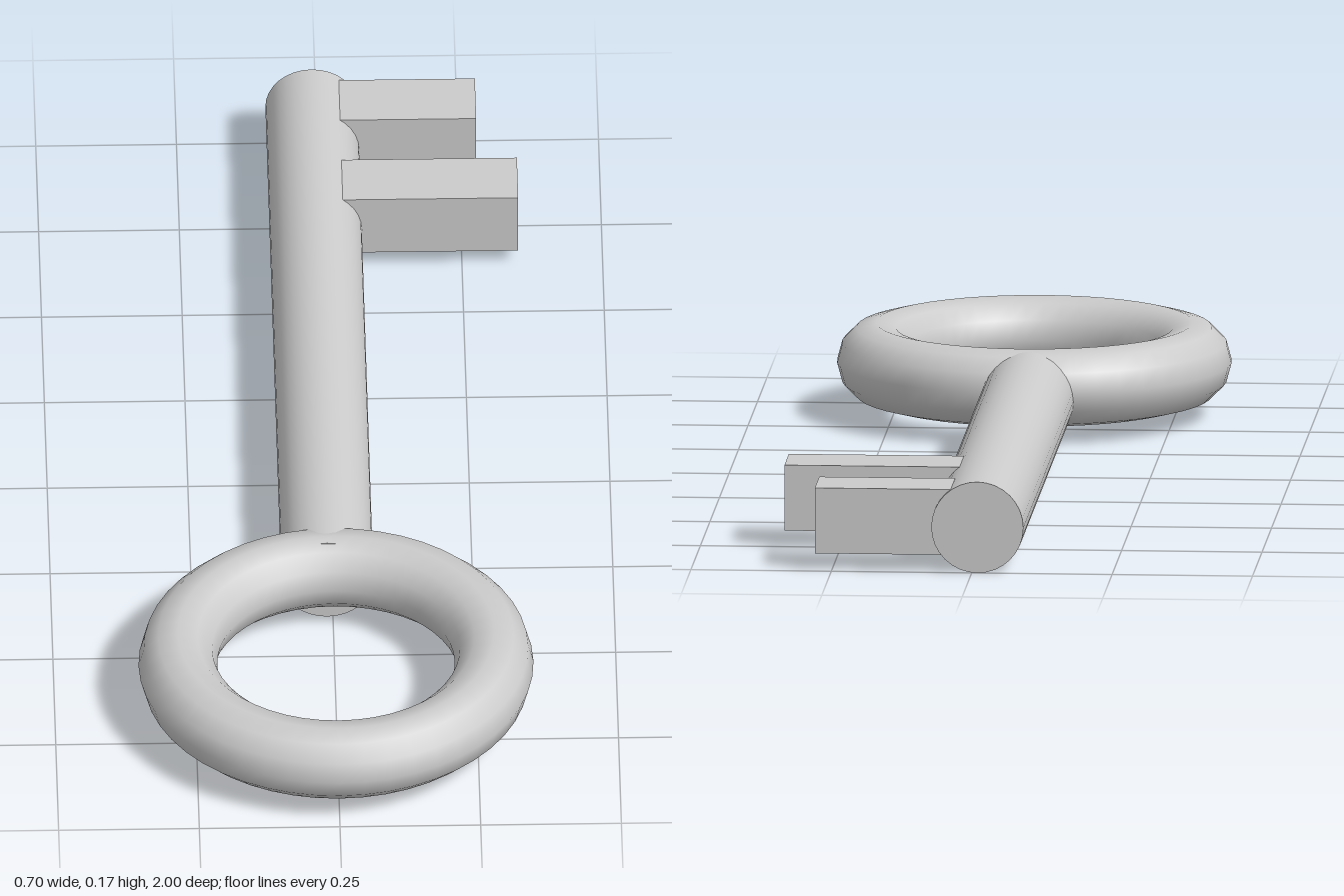
import * as THREE from 'three';

export function createModel() {
  const group = new THREE.Group();
  const material = new THREE.MeshStandardMaterial({ color: 0xcccccc });

  const add = (name, geometry, x, y, z) => {
    const mesh = new THREE.Mesh(geometry, material);
    mesh.name = name;
    mesh.position.set(x, y, z);
    group.add(mesh);
    return mesh;
  };

  // Ring handle lying flat
  const ring = new THREE.TorusGeometry(0.281, 0.07, 12, 48).rotateX(Math.PI / 2);
  add('ringHandle', ring, 0, 0.097, 0.649);

  // Round shaft running from the ring to the tip
  const shaftLength = 1.385;
  const shaft = new THREE.CylinderGeometry(0.082, 0.082, shaftLength, 32).rotateX(Math.PI / 2);
  add('shaft', shaft, -0.01, 0.082, -1 + shaftLength / 2);

  // Two square teeth on the left side; the one at the tip is shorter
  const root = 0.03;
  for (const [name, end, z] of [['tipTooth', 0.28, -0.93], ['innerTooth', 0.35, -0.697]]) {
    add(name, new THREE.BoxGeometry(end - root, 0.118, 0.117), (end + root) / 2, 0.089, z);
  }

  return group;
}
